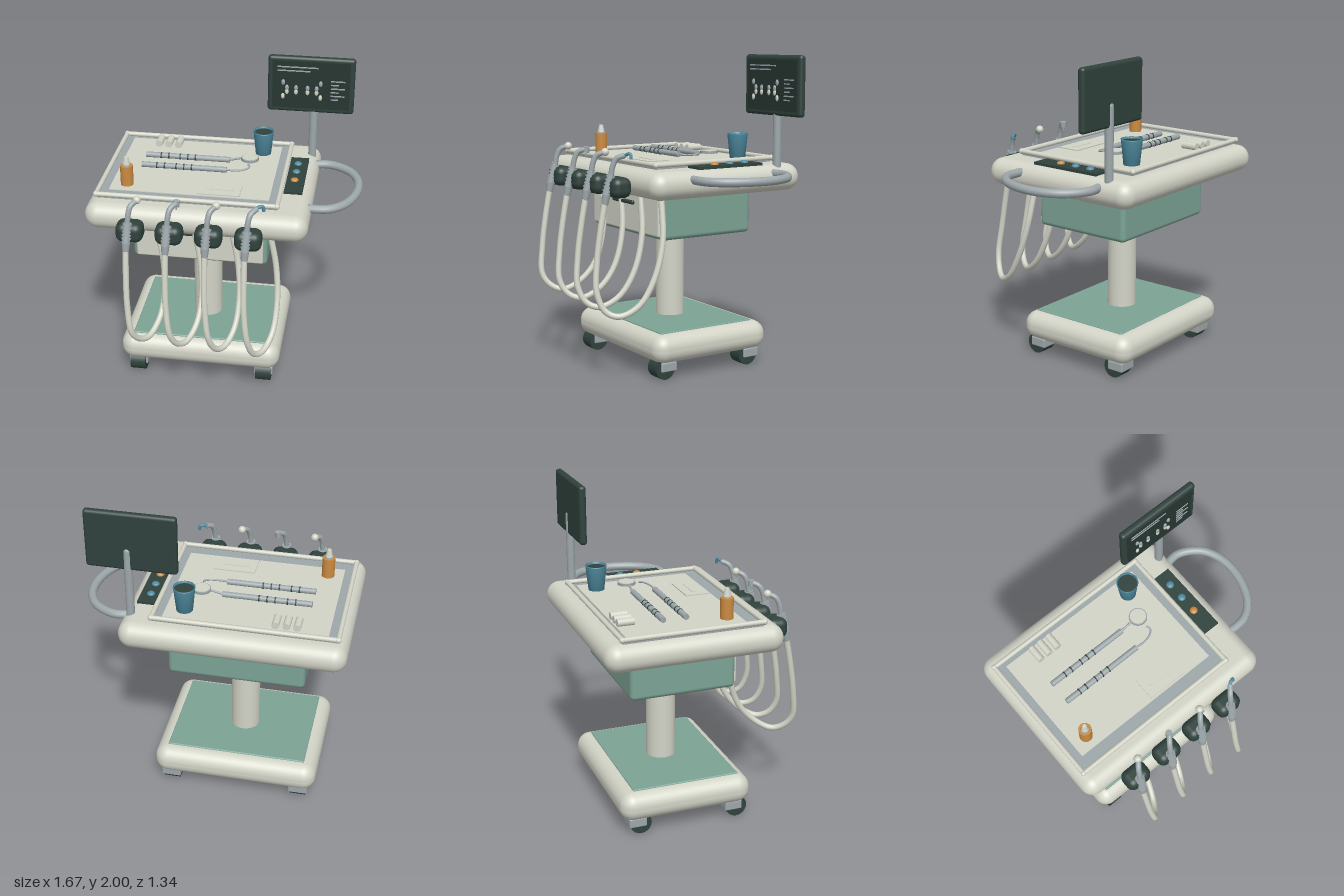
import * as THREE from 'three';
import { RoundedBoxGeometry } from 'three/addons/geometries/RoundedBoxGeometry.js';

const V = (x, y, z) => new THREE.Vector3(x, y, z);

export function createModel() {
  const root = new THREE.Group();
  const mat = (name, color) => {
    const m = new THREE.MeshStandardMaterial({ color });
    m.name = name;
    return m;
  };
  const cream = mat('cream', 0xd3d4c7), grey = mat('steel grey', 0x9da7aa), green = mat('sage green', 0x7ca395);
  const dark = mat('dark green', 0x30423d), screenDark = mat('screen', 0x263631);
  const blue = mat('blue', 0x4f8ba0), orange = mat('orange', 0xcb8b42);

  const add = (name, geo, m, x = 0, y = 0, z = 0, parent = root) => {
    const o = new THREE.Mesh(geo, m);
    o.name = name;
    o.position.set(x, y, z);
    parent.add(o);
    return o;
  };
  // Boxes are given by their limits on each axis; r rounds the edges
  const box = (name, m, [x0, x1], [y0, y1], [z0, z1], r = 0, parent = root) => {
    const s = [x1 - x0, y1 - y0, z1 - z0];
    const g = r ? new RoundedBoxGeometry(...s, 5, r) : new THREE.BoxGeometry(...s);
    return add(name, g, m, (x0 + x1) / 2, (y0 + y1) / 2, (z0 + z1) / 2, parent);
  };
  const post = (name, m, r0, r1, y0, y1, x, z, parent = root) =>
    add(name, new THREE.CylinderGeometry(r1, r0, y1 - y0, 32), m, x, (y0 + y1) / 2, z, parent);
  const ball = (name, m, r, p, parent = root) =>
    add(name, new THREE.SphereGeometry(r, 16, 12), m, p.x, p.y, p.z, parent);
  const tube = (name, m, pts, r, seg = 40, parent = root) =>
    add(name, new THREE.TubeGeometry(new THREE.CatmullRomCurve3(pts), seg, r, 12), m, 0, 0, 0, parent);
  // Straight rod between two points
  const rod = (name, m, a, b, r0, r1 = r0, parent = root) => {
    const d = b.clone().sub(a), c = a.clone().add(b).multiplyScalar(0.5);
    const o = add(name, new THREE.CylinderGeometry(r1, r0, d.length(), 16), m, c.x, c.y, c.z, parent);
    o.quaternion.setFromUnitVectors(V(0, 1, 0), d.normalize());
    return o;
  };

  // Base, column and drawer
  box('base', cream, [-0.68, 0.37], [0.1, 0.285], [-0.54, 0.31], 0.085);
  box('basePad', green, [-0.6, 0.29], [0.27, 0.293], [-0.45, 0.24], 0.008);
  post('column', cream, 0.0925, 0.0925, 0.28, 0.835, -0.155, -0.113);
  post('innerColumn', grey, 0.063, 0.063, 0.83, 0.9, -0.155, -0.113);
  box('drawerBox', green, [-0.58, 0.275], [0.865, 1.17], [-0.45, 0.22], 0.03);
  box('drawerFront', cream, [-0.555, 0.25], [0.885, 1.15], [0.2, 0.236], 0.012);
  box('drawerHandle', dark, [-0.28, -0.03], [1.06, 1.085], [0.23, 0.255], 0.01);

  // Casters
  for (const x of [-0.57, 0.267]) for (const z of [0.225, -0.408]) {
    const caster = new THREE.Group();
    caster.name = 'caster';
    caster.position.set(x, 0, z);
    root.add(caster);
    const wheel = add('wheel', new THREE.CylinderGeometry(0.068, 0.068, 0.1, 28), dark, 0, 0.068, 0, caster);
    wheel.rotation.z = Math.PI / 2;
    box('fork', grey, [-0.062, 0.062], [0.05, 0.11], [-0.078, 0.035], 0.008, caster);
    post('stem', grey, 0.03, 0.03, 0.09, 0.13, 0, -0.02, caster);
  }

  // Worktop, instrument tray and rails
  box('worktop', cream, [-0.84, 0.535], [1.15, 1.32], [-0.67, 0.435], 0.083);
  box('trayPlate', grey, [-0.775, 0.335], [1.31, 1.333], [-0.56, 0.305]);
  box('trayMat', cream, [-0.72, 0.28], [1.33, 1.338], [-0.525, 0.22]);
  const corners = [[-0.78, -0.565], [0.338, -0.565], [0.338, 0.308], [-0.78, 0.308]].map(([x, z]) => V(x, 1.346, z));
  corners.forEach((p, i) => {
    rod('trayRail', cream, p, corners[(i + 1) % 4], 0.015);
    ball('railCorner', cream, 0.018, p);
  });

  // Control panel with buttons
  box('controlPanel', dark, [0.355, 0.47], [1.31, 1.335], [-0.395, 0.088]);
  [[-0.3, blue], [-0.187, blue], [-0.072, orange]].forEach(([z, m]) => {
    const b = ball('button', m, 0.025, V(0.407, 1.337, z));
    b.scale.y = 0.6;
  });

  // Side handle
  tube('sideHandle', grey, [[0.46, -0.435], [0.6, -0.457], [0.73, -0.385], [0.79, -0.28], [0.806, -0.157],
    [0.78, -0.02], [0.72, 0.09], [0.63, 0.152], [0.46, 0.158]].map(([x, z]) => V(x, 1.268, z)), 0.027, 60);

  // Monitor on its pole
  post('monitorPole', grey, 0.026, 0.026, 1.3, 1.75, 0.48, -0.499);
  ball('poleEnd', grey, 0.026, V(0.48, 1.75, -0.499));
  box('monitor', dark, [0.18, 0.735], [1.625, 2], [-0.517, -0.47], 0.02);
  box('screen', screenDark, [0.21, 0.705], [1.655, 1.973], [-0.472, -0.467]);
  const line = (x0, x1, y, m) => box('screenLine', m, [x0, x1], [y - 0.004, y + 0.004], [-0.468, -0.463]);
  line(0.24, 0.5, 1.934, grey);
  line(0.24, 0.45, 1.909, grey);
  for (let i = 0; i < 6; i++) line(0.585, i % 2 ? 0.635 : 0.675, 1.85 - i * 0.025, grey);
  const tooth = (x, y, m) => ball('screenTooth', m, 0.013, V(x, y, -0.462)).scale.set(0.95, 1.5, 0.6);
  for (const s of [-1, 1]) {
    const cx = 0.4;
    tooth(cx + s * 0.12, 1.83, grey);
    tooth(cx + s * 0.12, 1.735, cream);
    for (const d of [0.095, 0.037]) {
      tooth(cx + s * d, 1.795, grey);
      tooth(cx + s * d, 1.768, cream);
    }
  }

  // Cup with dark inside
  const cup = post('cup', blue, 0.05, 0.068, 1.335, 1.497, 0.165, -0.425);
  cup.geometry.dispose();
  cup.geometry = new THREE.LatheGeometry([[0, -0.081], [0.05, -0.081], [0.066, 0.075], [0.068, 0.081], [0.061, 0.081],
    [0.06, 0.066]].map(([x, y]) => new THREE.Vector2(x, y)), 32);
  post('cupInside', dark, 0.058, 0.061, 1.45, 1.485, 0.165, -0.425);

  // Bottle
  post('bottle', orange, 0.04, 0.04, 1.335, 1.468, -0.622, 0.135);
  post('bottleCollar', grey, 0.026, 0.024, 1.468, 1.476, -0.622, 0.135);
  post('bottleNozzle', cream, 0.024, 0.013, 1.476, 1.525, -0.622, 0.135);

  // Rolls and paper pad on the tray
  for (const x of [-0.53, -0.466, -0.4])
    rod('cottonRoll', cream, V(x, 1.358, -0.515), V(x, 1.358, -0.412), 0.023);
  box('paperPad', cream, [-0.17, 0.095], [1.335, 1.345], [0.055, 0.207]);
  box('padSlip', cream, [-0.12, 0.045], [1.345, 1.348], [0.115, 0.145]);

  // Mirror and probe instruments
  for (const z of [-0.247, -0.103]) {
    rod('instrumentHandle', grey, V(-0.58, 1.36, z), V(-0.03, 1.36, z), 0.018);
    for (const x of [-0.48, -0.43, -0.355, -0.305, -0.255])
      rod('gripRing', dark, V(x - 0.004, 1.36, z), V(x + 0.004, 1.36, z), 0.02);
  }
  rod('mirrorStem', grey, V(-0.03, 1.36, -0.247), V(0.05, 1.38, -0.247), 0.007);
  post('mirrorRim', grey, 0.057, 0.057, 1.372, 1.388, 0.1, -0.247);
  post('mirrorGlass', cream, 0.05, 0.05, 1.385, 1.391, 0.1, -0.247);
  tube('probeHook', grey, [V(-0.03, 1.36, -0.103), V(0.03, 1.36, -0.1), V(0.085, 1.365, -0.115),
    V(0.11, 1.37, -0.14), V(0.1, 1.375, -0.168)], 0.006, 24);

  // Handpieces in their holders, each with a hanging hose
  [-0.53, -0.29, -0.05, 0.19].forEach((x, i) => {
    const unit = new THREE.Group();
    unit.name = 'handpieceUnit';
    unit.position.x = x;
    root.add(unit);
    box('holder', dark, [-0.083, 0.083], [1.15, 1.275], [0.425, 0.555], 0.045, unit);
    const top = V(-0.003, 1.29, 0.532), low = V(-0.01, 1.17, 0.562);
    rod('handpieceBody', grey, low, top, 0.025, 0.021, unit);
    for (let k = 0; k < 5; k++) {
      const p = low.clone().lerp(top, 0.15 + k * 0.18), q = low.clone().lerp(top, 0.23 + k * 0.18);
      rod('bodyRing', grey, p, q, 0.029, 0.029, unit);
    }
    rod('hoseFerrule', grey, V(-0.012, 1.11, 0.572), low, 0.02, 0.027, unit);
    tube('handpieceNeck', grey, [top, V(0.002, 1.345, 0.522), V(0.014, 1.388, 0.502), V(0.045, 1.408, 0.462)], 0.017, 20, unit);
    const head = V(0.043, 1.408, 0.46);
    if (i === 3) {
      // Syringe with a bent tip
      tube('syringeTip', blue, [head, V(0.066, 1.418, 0.449), V(0.08, 1.414, 0.444), V(0.086, 1.385, 0.444)], 0.01, 16, unit);
    } else if (i === 1) {
      rod('drillHead', grey, V(0.043, 1.385, 0.46), V(0.045, 1.422, 0.458), 0.02, 0.02, unit);
      rod('drillBit', grey, V(0.043, 1.362, 0.46), V(0.043, 1.39, 0.46), 0.005, 0.005, unit);
    } else {
      ball('handpieceHead', cream, 0.025, head, unit);
    }
    const b = 0.487 - i * 0.013;
    tube('hose', cream, [V(-0.012, 1.13, 0.57), V(-0.01, 0.95, 0.605), V(-0.003, 0.76, 0.635), V(0.02, 0.58, 0.65),
      V(0.055, b + 0.02, 0.61), V(0.1, b - 0.01, 0.54), V(0.147, b + 0.05, 0.43), V(0.165, 0.66, 0.33),
      V(0.15, 0.88, 0.262), V(0.1, 1.13, 0.238)], 0.019, 70, unit);
  });

  return root;
}
